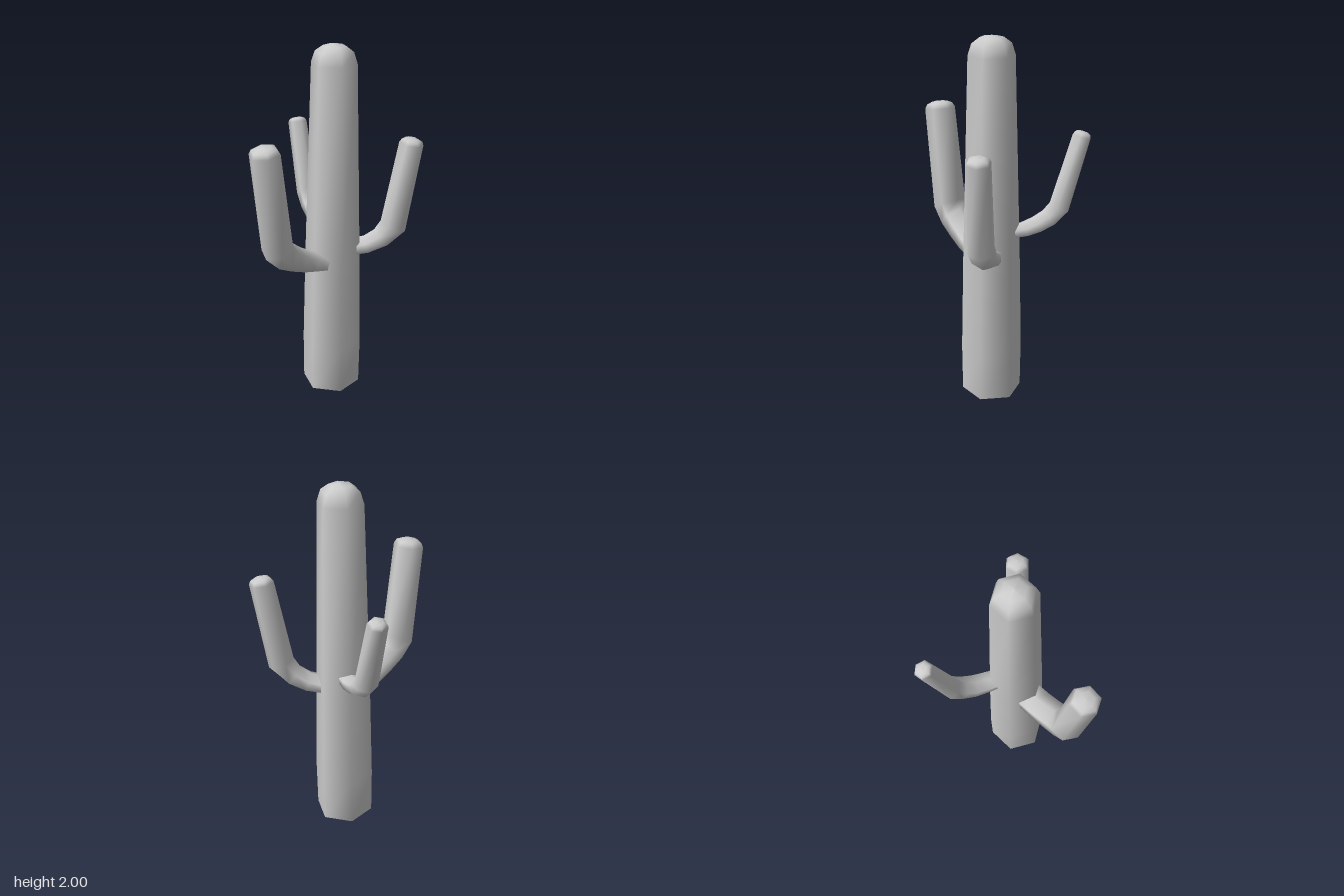
import * as THREE from 'three';

const SIDES = 6;
const UP = new THREE.Vector3(0, 1, 0);

// Six-sided limb along a path of [x, y, z, radius in the bend plane, radius across it],
// with a flat start and a rounded tip of the given height.
function limb(name, path, heading, tipHeight, material) {
  const across = new THREE.Vector3().crossVectors(UP, heading).normalize();
  const centres = path.map(([x, y, z]) => new THREE.Vector3(x, y, z));
  const last = path.length - 1;
  const rings = path.map((p, i) => {
    const before = centres[i].clone().sub(centres[Math.max(i - 1, 0)]).normalize();
    const after = centres[Math.min(i + 1, last)].clone().sub(centres[i]).normalize();
    return { c: centres[i], t: before.add(after).normalize(), a: p[3], b: p[4] };
  });

  // Rounded tip
  const end = rings[last];
  for (const [scale, rise] of [[0.84, 0.6], [0.5, 0.9], [0.001, 1]]) {
    rings.push({
      c: end.c.clone().addScaledVector(end.t, rise * tipHeight),
      t: end.t, a: end.a * scale, b: end.b * scale,
    });
  }

  const positions = [];
  const index = [];
  const addRing = ({ c, t, a, b }) => {
    const outward = new THREE.Vector3().crossVectors(across, t).normalize();
    for (let j = 0; j < SIDES; j++) {
      const angle = (j / SIDES) * Math.PI * 2;
      const p = c.clone()
        .addScaledVector(outward, a * Math.cos(angle))
        .addScaledVector(across, b * Math.sin(angle));
      positions.push(p.x, p.y, p.z);
    }
  };
  rings.forEach(addRing);
  for (let i = 0; i < rings.length - 1; i++) {
    for (let j = 0; j < SIDES; j++) {
      const k = (j + 1) % SIDES;
      const a = i * SIDES + j, b = i * SIDES + k;
      index.push(a, b, b + SIDES, a, b + SIDES, a + SIDES);
    }
  }

  // Flat start with its own vertices, so the rim stays sharp
  const base = positions.length / 3;
  addRing(rings[0]);
  for (let j = 1; j < SIDES - 1; j++) index.push(base, base + j + 1, base + j);

  const geometry = new THREE.BufferGeometry();
  geometry.setAttribute('position', new THREE.Float32BufferAttribute(positions, 3));
  geometry.setIndex(index);
  geometry.computeVertexNormals();
  const mesh = new THREE.Mesh(geometry, material);
  mesh.name = name;
  return mesh;
}

export function createModel() {
  const group = new THREE.Group();
  group.name = 'cactus';
  const material = new THREE.MeshStandardMaterial({ color: 0xcccccc });

  // Trunk, slightly swollen near the ground and tapering upwards
  group.add(limb('trunk', [
    [0.117, 0, 0.067, 0.164, 0.164],
    [0.117, 0.27, 0.067, 0.167, 0.167],
    [0.116, 0.8, 0.067, 0.155, 0.155],
    [0.114, 1.9, 0.067, 0.122, 0.122],
  ], new THREE.Vector3(1, 0, 0), 0.1, material));

  // Large arm on the right
  group.add(limb('rightArm', [
    [0.005, 0.81, 0.062, 0.06, 0.09],
    [-0.08, 0.835, 0.058, 0.062, 0.09],
    [-0.17, 0.88, 0.052, 0.07, 0.09],
    [-0.245, 0.925, 0.047, 0.078, 0.09],
    [-0.305, 0.99, 0.043, 0.09, 0.09],
    [-0.384, 1.53, 0.043, 0.083, 0.083],
  ], new THREE.Vector3(-1, 0, -0.05), 0.04, material));

  // Medium arm at the front left
  group.add(limb('frontLeftArm', [
    [0.195, 0.855, 0.14, 0.047, 0.072],
    [0.25, 0.87, 0.2, 0.053, 0.072],
    [0.303, 0.912, 0.262, 0.063, 0.072],
    [0.345, 0.985, 0.312, 0.076, 0.072],
    [0.401, 1.462, 0.37, 0.066, 0.066],
  ], new THREE.Vector3(0.206, 0, 0.23), 0.032, material));

  // Small arm at the back left
  group.add(limb('backLeftArm', [
    [0.17, 0.945, -0.02, 0.035, 0.058],
    [0.2, 0.953, -0.09, 0.041, 0.062],
    [0.226, 0.973, -0.155, 0.048, 0.064],
    [0.255, 1.008, -0.215, 0.055, 0.064],
    [0.28, 1.065, -0.267, 0.062, 0.062],
    [0.32, 1.452, -0.378, 0.053, 0.053],
  ], new THREE.Vector3(0.15, 0, -0.358), 0.026, material));

  return group;
}
